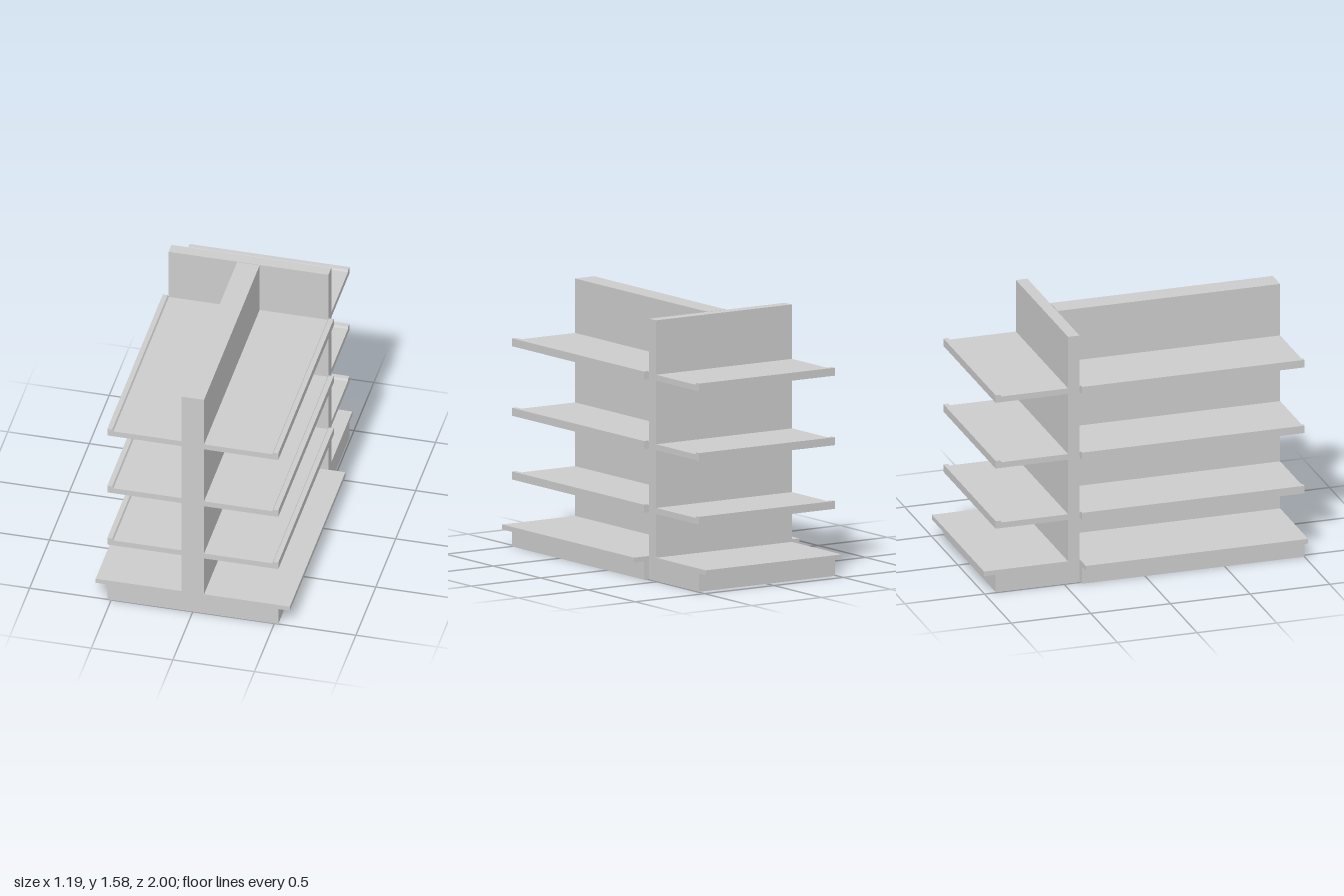
import * as THREE from 'three';

const material = new THREE.MeshStandardMaterial({ color: 0xcccccc, flatShading: true });
const HEIGHT = 1.575;
const SHELVES = [0.405, 0.79, 1.21]; // underside heights

// Stepped outline of one shelved side, bottom to top: [distance outward, y]
function shelvedSide(wall, edge, ledge) {
  const points = [[edge, 0], [edge, 0.11], [ledge, 0.11], [ledge, 0.14], [wall, 0.14]];
  for (const y of SHELVES) {
    // Underside, front edge, raised lip, shelf surface
    points.push([wall, y], [edge, y], [edge, y + 0.048],
      [edge - 0.03, y + 0.048], [edge - 0.037, y + 0.036], [wall, y + 0.036]);
  }
  points.push([wall, HEIGHT]);
  return points;
}

function extrudeOutline(points, depth) {
  const shape = new THREE.Shape(points.map(([u, y]) => new THREE.Vector2(u, y)));
  return new THREE.ExtrudeGeometry(shape, { depth, bevelEnabled: false });
}

function addMesh(group, name, geometry) {
  const mesh = new THREE.Mesh(geometry, material);
  mesh.name = name;
  group.add(mesh);
}

export function createModel() {
  const group = new THREE.Group();
  group.name = 'shelvingUnit';

  // Double-sided run of shelves around a central spine
  const side = shelvedSide(0.069, 0.524, 0.595);
  const mirrored = side.map(([u, y]) => [-u, y]).reverse();
  const run = extrudeOutline([...side, ...mirrored], 1.396);
  run.translate(0, 0, -0.396);
  addMesh(group, 'doubleSidedShelves', run);

  // End unit: back panel, base and shelves facing the rear
  const end = extrudeOutline([[0.4, 0], ...shelvedSide(0.472, 0.927, 1), [0.4, HEIGHT]], 0.98);
  end.translate(0, 0, -0.49);
  end.rotateY(Math.PI / 2);
  addMesh(group, 'endShelves', end);

  return group;
}
